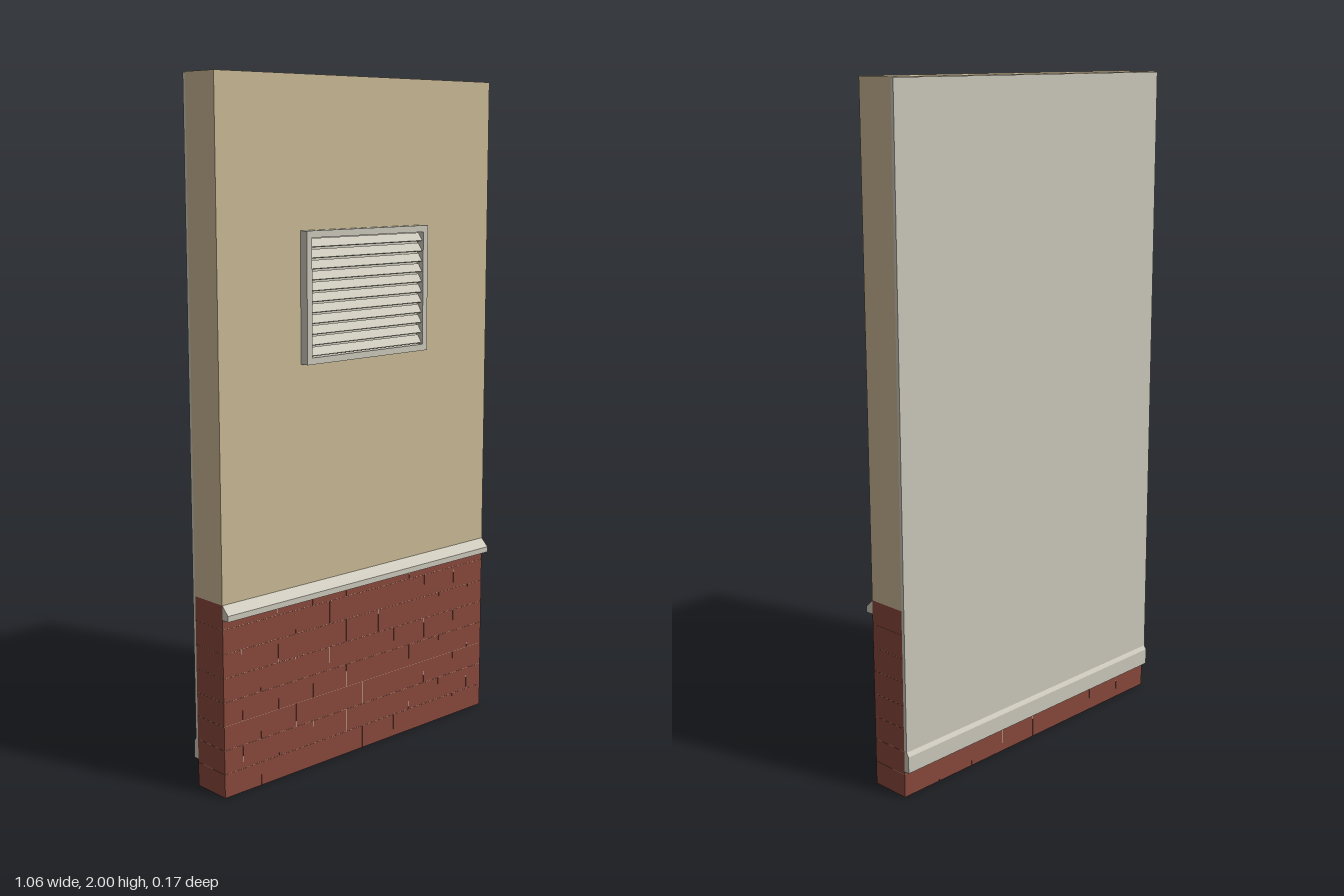
import * as THREE from 'three';

const W = 1.064, FRONT = 0.056, BACK = -0.066, BRICK_TOP = 0.565;

const mat = (name, color) => {
  const m = new THREE.MeshStandardMaterial({ color });
  m.name = name;
  return m;
};

export function createModel() {
  const tan = mat('tan render', 0xc6b592);
  const red = mat('red brick', 0x85473b);
  const trim = mat('pale grey trim', 0xc8c5b7);

  const model = new THREE.Group();
  model.name = 'wallPanel';

  // Box given by its minimum and maximum corners
  const box = (name, material, x0, x1, y0, y1, z0, z1, parent = model) => {
    const mesh = new THREE.Mesh(new THREE.BoxGeometry(x1 - x0, y1 - y0, z1 - z0), material);
    mesh.position.set((x0 + x1) / 2, (y0 + y1) / 2, (z0 + z1) / 2);
    mesh.name = name;
    parent.add(mesh);
    return mesh;
  };

  // Moulding along x from a (z, y) cross-section
  const moulding = (name, points) => {
    const shape = new THREE.Shape(points.map(([z, y]) => new THREE.Vector2(-z, y)));
    const geo = new THREE.ExtrudeGeometry(shape, { depth: W, bevelEnabled: false });
    geo.rotateY(Math.PI / 2).translate(-W / 2, 0, 0);
    const mesh = new THREE.Mesh(geo, trim);
    mesh.name = name;
    model.add(mesh);
  };

  // Rendered upper wall and inner plaster sheet
  box('upperWall', tan, -W / 2, W / 2, BRICK_TOP, 2, BACK, FRONT);
  box('plasterSheet', trim, -W / 2, W / 2, 0.08, 1.998, -0.076, BACK);

  // Brick base: mortar core with half-bond courses and hairline joints
  const bricks = new THREE.Group();
  bricks.name = 'brickBase';
  model.add(bricks);
  const inset = 0.0006, joint = 0.0008, courses = 8, perRow = 8;
  box('mortar', trim, -W / 2 + inset, W / 2 - inset, inset, BRICK_TOP - inset, BACK + inset, FRONT - inset, bricks);
  const h = BRICK_TOP / courses, len = W / perRow;
  for (let r = 0; r < courses; r++) {
    const shift = r % 2 ? len / 2 : 0;
    for (let i = 0; i <= perRow; i++) {
      const a = -W / 2 + i * len - shift;
      const x0 = Math.max(a, -W / 2), x1 = Math.min(a + len, W / 2);
      if (x1 - x0 < 0.01) continue;
      box('brick', red,
        x0 > -W / 2 + 0.001 ? x0 + joint / 2 : x0,
        x1 < W / 2 - 0.001 ? x1 - joint / 2 : x1,
        r ? r * h + joint / 2 : 0,
        r < courses - 1 ? (r + 1) * h - joint / 2 : BRICK_TOP,
        BACK, FRONT, bricks);
    }
  }

  // Sloped sill on the front and skirting board on the back
  moulding('sill', [[FRONT, 0.565], [FRONT, 0.523], [0.081, 0.523], [0.081, 0.54]]);
  moulding('skirting', [[-0.076, 0.08], [-0.076, 0.142], [-0.0835, 0.13], [-0.0835, 0.08]]);

  // Louvred vent: frame with an opening, back plate and tilted slats
  const vent = new THREE.Group();
  vent.name = 'vent';
  vent.position.set(0, 1.392, FRONT);
  model.add(vent);
  const rect = (path, w, t) => path.moveTo(-w, -t).lineTo(w, -t).lineTo(w, t).lineTo(-w, t).closePath();
  const frameShape = rect(new THREE.Shape(), 0.239, 0.186);
  frameShape.holes.push(rect(new THREE.Path(), 0.22, 0.167));
  const frame = new THREE.Mesh(
    new THREE.ExtrudeGeometry(frameShape, { depth: 0.0275, bevelEnabled: false }), trim);
  frame.name = 'ventFrame';
  vent.add(frame);
  box('ventBack', trim, -0.22, 0.22, -0.167, 0.167, 0, 0.003, vent);
  const slats = 11, pitch = 0.334 / slats;
  for (let i = 0; i < slats; i++) {
    const y = -0.167 + (i + 0.5) * pitch;
    const slat = box('slat', trim, -0.22, 0.22, y - 0.0135, y + 0.0135, 0.011, 0.015, vent);
    slat.rotation.x = -0.6;
  }

  return model;
}
